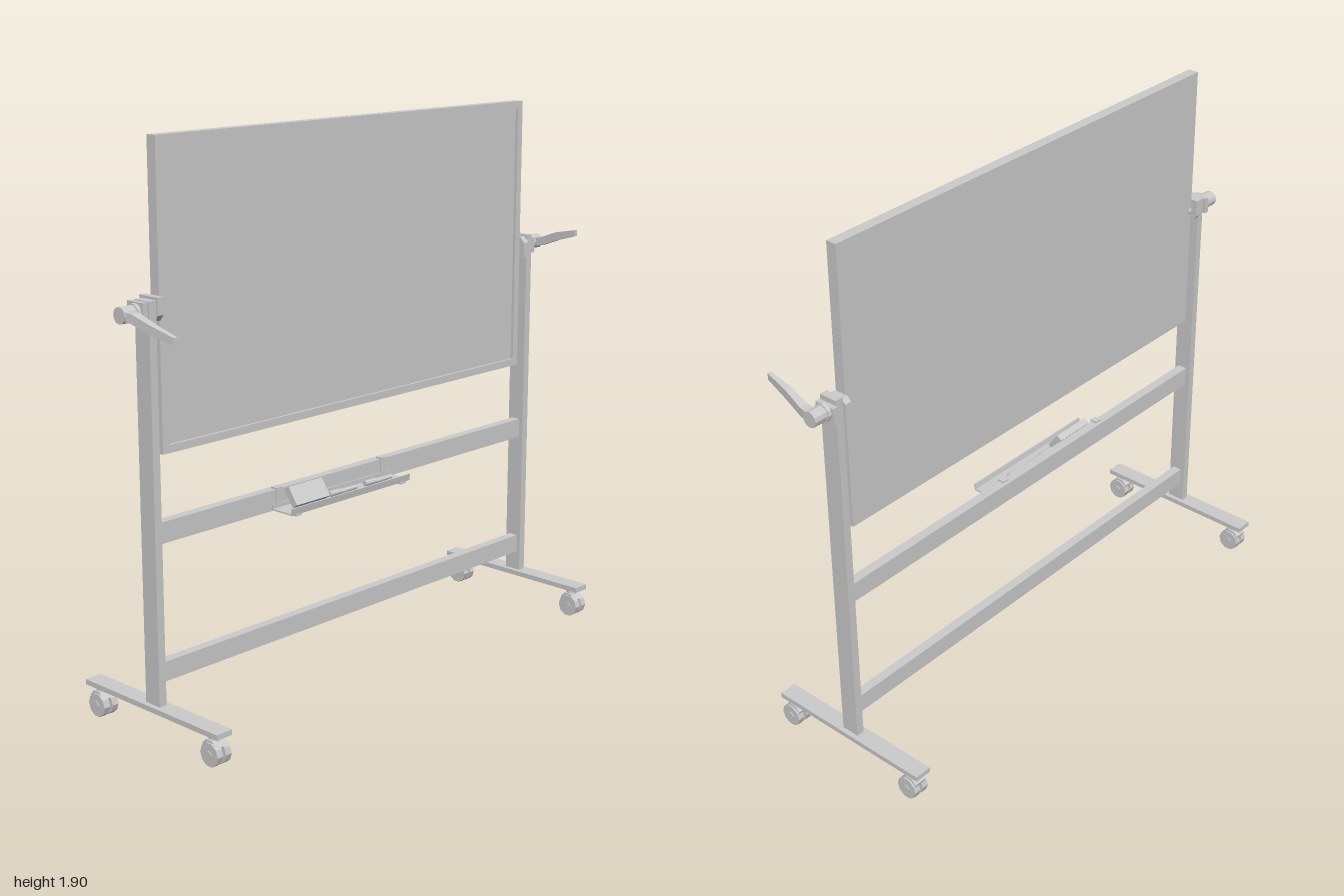
import * as THREE from 'three';

const grey = new THREE.MeshStandardMaterial({ color: 0xcccccc, flatShading: true });

function add(parent, name, geometry, x = 0, y = 0, z = 0) {
  const mesh = new THREE.Mesh(geometry, grey);
  mesh.name = name;
  mesh.position.set(x, y, z);
  parent.add(mesh);
  return mesh;
}
const box = (w, h, d) => new THREE.BoxGeometry(w, h, d);
const rodX = (r, length, sides, r2 = r) =>
  new THREE.CylinderGeometry(r, r2, length, sides).rotateZ(Math.PI / 2);

// Extrudes a [z, y] outline along x, centred on x = 0
function profileX(points, width) {
  const shape = new THREE.Shape(points.map(([z, y]) => new THREE.Vector2(-z, y)));
  return new THREE.ExtrudeGeometry(shape, { depth: width, bevelEnabled: false })
    .translate(0, 0, -width / 2).rotateY(Math.PI / 2);
}

// Board panel with a raised frame around its front
function board() {
  const group = new THREE.Group();
  group.name = 'board';
  const W = 1.73, H = 0.975, rim = 0.026;
  add(group, 'panel', box(W - 2 * rim, H - 2 * rim, 0.028), 0, 0, -0.005);
  for (const s of [-1, 1]) {
    add(group, 'frameRail', box(W, rim, 0.038), 0, s * (H - rim) / 2, 0);
    add(group, 'frameStile', box(rim, H - 2 * rim, 0.038), s * (W - rim) / 2, 0, 0);
  }
  group.position.y = 1.4175;
  return group;
}

// Twin-wheel swivel caster
function caster() {
  const group = new THREE.Group();
  group.name = 'caster';
  add(group, 'stem', new THREE.CylinderGeometry(0.016, 0.02, 0.03, 8), 0, 0.088, -0.005);
  add(group, 'hood', profileX([[-0.032, 0.05], [-0.036, 0.068], [-0.02, 0.085],
    [0.008, 0.085], [0.028, 0.066], [0.022, 0.04], [-0.01, 0.035]], 0.046));
  for (const s of [-1, 1]) {
    add(group, 'wheel', rodX(0.04, 0.024, 10), s * 0.017, 0.04, 0);
    add(group, 'hub', rodX(0.014, 0.005, 8), s * 0.03, 0.04, 0);
  }
  add(group, 'axle', rodX(0.012, 0.03, 8), 0, 0.04, 0);
  return group;
}

// Pivot clamp pointing to -x, with its lever curving downwards
function clamp() {
  const group = new THREE.Group();
  group.name = 'pivotClamp';
  add(group, 'pivotShaft', rodX(0.018, 0.1, 12), -0.9, 0, -0.005);
  add(group, 'innerFlange', profileX([[0.04, 0.045], [-0.044, 0.045], [-0.044, -0.015],
    [-0.03, -0.03], [0.022, -0.03], [0.04, -0.01]], 0.024), -0.877, 0, 0);
  add(group, 'outerWasher', box(0.018, 0.056, 0.074), -0.929, 0.006, -0.006);
  add(group, 'knob', rodX(0.027, 0.067, 12), -0.9665, 0, -0.006);
  add(group, 'knobCollar', rodX(0.031, 0.014, 12), -0.944, 0, -0.006);
  // Lever narrows and leans inwards towards its tip
  const lever = profileX([[0, 0.014], [0.04, 0.01], [0.12, -0.018], [0.202, -0.042],
    [0.202, -0.064], [0.11, -0.046], [0.04, -0.02], [0, -0.016]], 0.036);
  const p = lever.attributes.position;
  for (let i = 0; i < p.count; i++) {
    const t = p.getZ(i) / 0.202;
    p.setX(i, p.getX(i) * (1 - 0.6 * t) + 0.02 * t);
  }
  lever.computeVertexNormals();
  add(group, 'lever', lever, -0.98, 0, 0);
  return group;
}

// Pen tray with an eraser and two markers
function tray() {
  const group = new THREE.Group();
  group.name = 'penTray';
  add(group, 'trayBody', profileX([[0.017, 0.648], [0.11, 0.648], [0.114, 0.672],
    [0.109, 0.672], [0.106, 0.653], [0.022, 0.653], [0.022, 0.668], [0.017, 0.668]], 0.57), -0.12, 0, 0);
  for (const x of [-0.375, 0.13]) {
    add(group, 'trayClip', profileX([[0.114, 0.643], [0.114, 0.65], [0.022, 0.65],
      [0.022, 0.721], [-0.004, 0.721], [-0.004, 0.715], [0.016, 0.715], [0.016, 0.643]], 0.026), x, 0, 0);
  }
  add(group, 'eraser', box(0.155, 0.068, 0.024), -0.277, 0.688, 0.054).rotation.x = -0.62;
  for (const x of [-0.115, 0.058]) {
    add(group, 'markerBody', rodX(0.008, 0.085, 10, 0.007), x + 0.022, 0.661, 0.062);
    add(group, 'markerCap', rodX(0.01, 0.05, 10), x - 0.042, 0.663, 0.062);
  }
  return group;
}

export function createModel() {
  const model = new THREE.Group();
  model.name = 'mobileWhiteboard';
  model.add(board(), tray());

  // Cross rails
  add(model, 'middleRail', box(1.78, 0.07, 0.034), 0, 0.68, 0);
  add(model, 'lowerRail', box(1.78, 0.066, 0.034), 0, 0.222, 0);

  for (const s of [-1, 1]) {
    // Upright post on a foot bar with two casters
    add(model, 'post', box(0.028, 1.3, 0.066), s * 0.903, 0.766, 0);
    add(model, 'footBar', box(0.062, 0.018, 0.636), s * 0.903, 0.109, 0);
    for (const z of [-0.268, 0.278]) {
      const c = caster();
      c.position.set(s * 0.903, 0, z);
      model.add(c);
    }
    // The clamps are half-turn copies, so one lever points up and one down
    const pivot = clamp();
    pivot.position.y = 1.38;
    if (s > 0) pivot.rotation.z = Math.PI;
    model.add(pivot);
  }
  return model;
}
